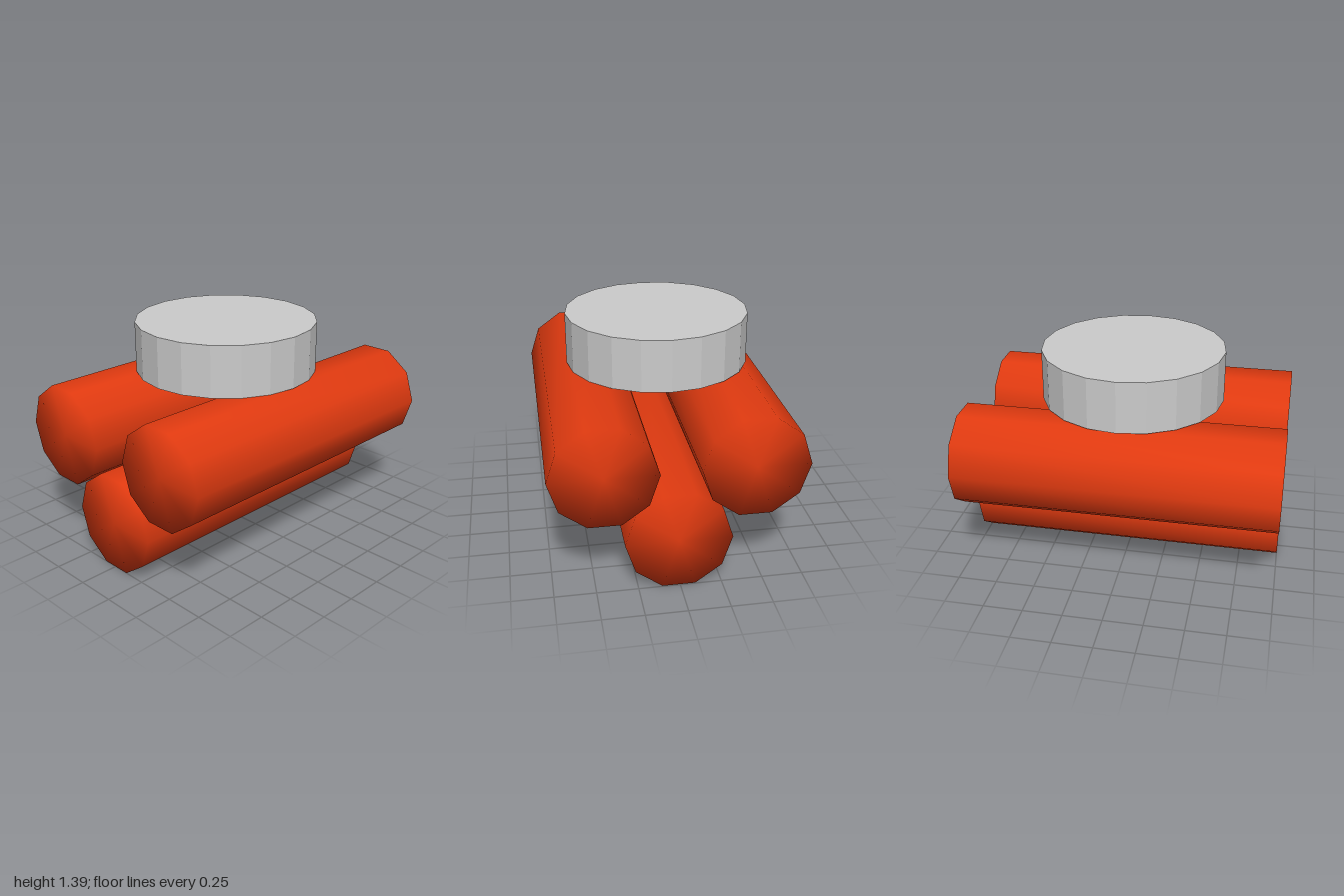
import * as THREE from 'three';
import { mergeVertices } from 'three/addons/utils/BufferGeometryUtils.js';

const red = new THREE.MeshStandardMaterial({ color: 0xe03a10 });
const grey = new THREE.MeshStandardMaterial({ color: 0xcccccc, flatShading: true });

// Ten-sided log lying along x, with shading blended smoothly over its ends
function makeLog(name, length, x, y, z) {
  let geometry = new THREE.CylinderGeometry(0.32, 0.32, length, 10);
  geometry.deleteAttribute('normal');
  geometry.deleteAttribute('uv');
  geometry = mergeVertices(geometry, 1e-4);
  geometry.computeVertexNormals();
  geometry.rotateZ(Math.PI / 2);
  const mesh = new THREE.Mesh(geometry, red);
  mesh.name = name;
  mesh.position.set(x, y, z);
  return mesh;
}

export function createModel() {
  const group = new THREE.Group();
  group.name = 'logStack';

  // Three stacked logs: one below, two resting on it
  group.add(
    makeLog('bottomLog', 1.995, -0.0025, 0.305, 0.007),
    makeLog('frontLog', 2, 0, 0.757, 0.441),
    makeLog('backLog', 1.995, -0.0025, 0.752, -0.441),
  );

  // Faceted disc on top
  const disc = new THREE.Mesh(new THREE.CylinderGeometry(0.578, 0.578, 0.326, 20), grey);
  disc.name = 'topDisc';
  disc.position.set(-0.01, 1.225, -0.02);
  group.add(disc);

  return group;
}
